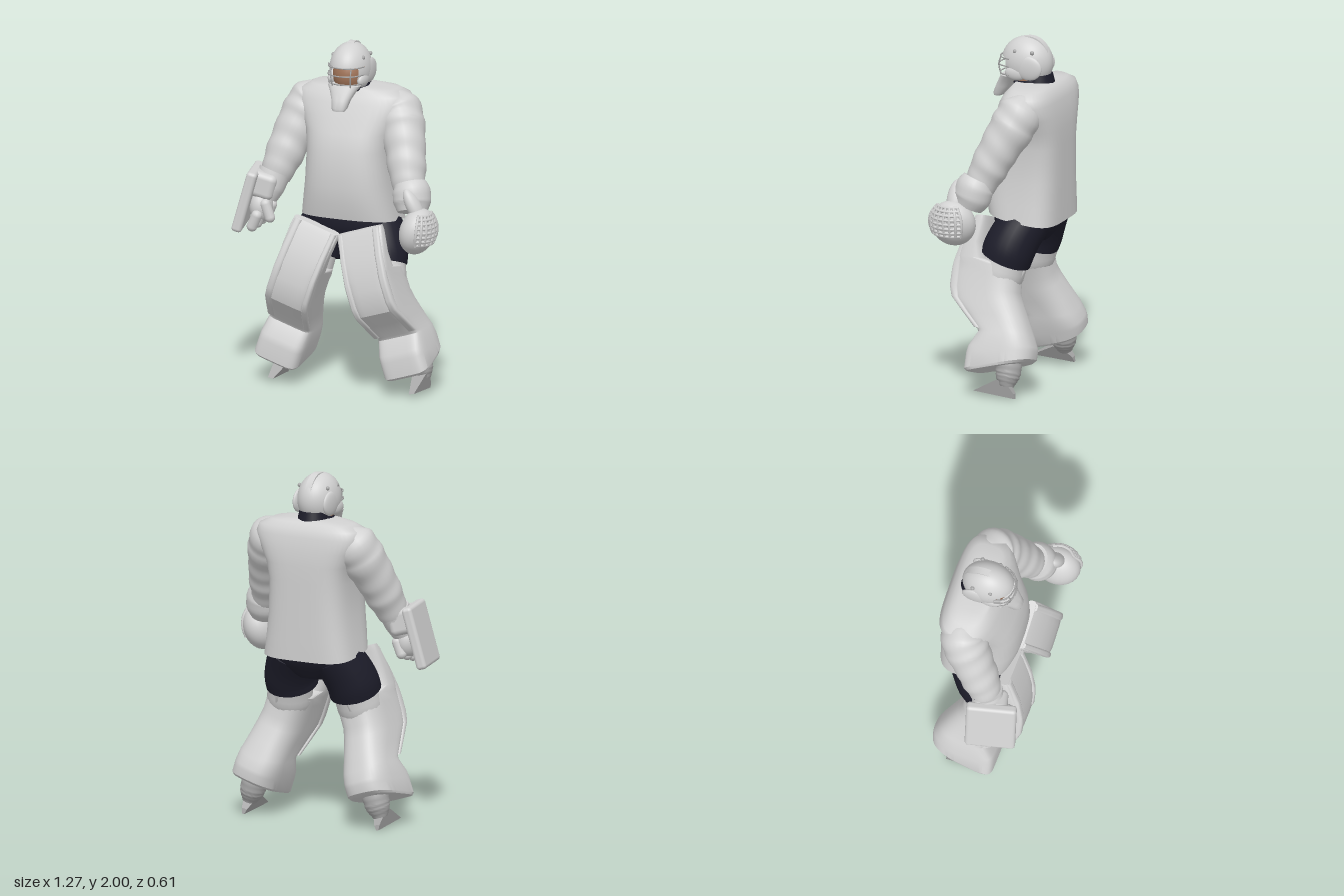
import * as THREE from 'three';
import { toCreasedNormals } from 'three/addons/utils/BufferGeometryUtils.js';
import { RoundedBoxGeometry } from 'three/addons/geometries/RoundedBoxGeometry.js';

const mat = (name, color) => Object.assign(new THREE.MeshStandardMaterial({ color }), { name });
const V = (x, y, z) => new THREE.Vector3(x, y, z);

// Skin closed rings, listed from bottom to top, and cap both ends
function skin(rings, crease = 0.7) {
  const n = rings[0].length, pos = [], idx = [];
  rings.forEach(r => r.forEach(p => pos.push(p.x, p.y, p.z)));
  for (let i = 0; i < rings.length - 1; i++) {
    for (let j = 0; j < n; j++) {
      const a = i * n + j, b = i * n + (j + 1) % n;
      idx.push(a, b, a + n, b, b + n, a + n);
    }
  }
  [0, rings.length - 1].forEach((k, top) => {
    const c = rings[k].reduce((s, p) => s.add(p), V(0, 0, 0)).divideScalar(n);
    const ci = pos.length / 3;
    pos.push(c.x, c.y, c.z);
    for (let j = 0; j < n; j++) {
      const a = k * n + j, b = k * n + (j + 1) % n;
      top ? idx.push(ci, a, b) : idx.push(ci, b, a);
    }
  });
  const g = new THREE.BufferGeometry();
  g.setAttribute('position', new THREE.Float32BufferAttribute(pos, 3));
  g.setIndex(idx);
  return toCreasedNormals(g, crease);
}

// Stacked sections [y, halfWidth, zFront, zBack, slope], squarer in front by nf and behind by nb
function stack(sections, nf, nb, crease, n = 40) {
  const pw = (v, e) => Math.sign(v) * Math.abs(v) ** (2 / e);
  return skin(sections.map(([y, w, zf, zb, t = 0]) => Array.from({ length: n }, (_, j) => {
    const a = (j + 0.5) / n * Math.PI * 2, s = -Math.sin(a), e = s > 0 ? nf : nb;
    const dz = pw(s, e) * (zf - zb) / 2;
    return V(pw(Math.cos(a), e) * w, y + t * dz, (zf + zb) / 2 + dz);
  })), crease);
}

// Round limb through [x, y, z, radius] from bottom to top, with optional cloth folds
function limb(side, pts, fold = 0, steps = 28, n = 24) {
  const curve = new THREE.CatmullRomCurve3(pts.map(p => V(p[0] * side, p[1], p[2])));
  const rings = [];
  for (let i = 0; i <= steps; i++) {
    const t = i / steps, f = t * (pts.length - 1), k = Math.min(Math.floor(f), pts.length - 2);
    const r = THREE.MathUtils.lerp(pts[k][3], pts[k + 1][3], f - k);
    const T = curve.getTangent(t), U = V(0, 0, 1).cross(T).negate().normalize(), W = U.clone().cross(T);
    const c = curve.getPoint(t);
    rings.push(Array.from({ length: n }, (_, j) => {
      const a = j / n * Math.PI * 2;
      const rr = r * (1 + fold * Math.sin(t * 34 + 1.6 * Math.sin(a)));
      return c.clone().addScaledVector(U, Math.cos(a) * rr).addScaledVector(W, -Math.sin(a) * rr);
    }));
  }
  return skin(rings, 0.9);
}

const wire = (pts, r) => new THREE.TubeGeometry(new THREE.CatmullRomCurve3(pts), 16, r, 6);

export function createModel() {
  const cloth = mat('light grey', 0xd2d2d2), navy = mat('dark navy', 0x1d1d2a);
  const skinTone = mat('skin', 0x9e7257), steel = mat('grey steel', 0xa8a8a8);
  cloth.side = THREE.DoubleSide;
  const root = new THREE.Group();
  root.name = 'goalkeeper';
  const add = (name, geo, m, parent = root) => {
    const mesh = new THREE.Mesh(geo, m);
    mesh.name = name;
    parent.add(mesh);
    return mesh;
  };
  const ball = (name, m, c, r, parent = root) => {
    const b = add(name, new THREE.SphereGeometry(1, 28, 20), m, parent);
    b.position.set(...c);
    b.scale.set(...r);
    return b;
  };

  // Jersey
  add('jersey', stack([
    [0.98, 0.28, 0.12, -0.3, 0.14], [1.08, 0.265, 0.14, -0.302, 0.08], [1.2, 0.25, 0.15, -0.302],
    [1.4, 0.242, 0.14, -0.305], [1.5, 0.262, 0.105, -0.305], [1.58, 0.3, 0.07, -0.3],
    [1.66, 0.332, 0.035, -0.285], [1.705, 0.315, 0.01, -0.27], [1.735, 0.25, -0.015, -0.24],
    [1.746, 0.16, -0.02, -0.215], [1.75, 0.09, -0.03, -0.19]], 2.8, 3.8, 0.8), cloth);

  // Shorts
  add('shorts', stack([[0.83, 0.09, 0.02, -0.19], [0.9, 0.23, 0.07, -0.245], [0.96, 0.255, 0.09, -0.275],
    [1.03, 0.25, 0.08, -0.275]], 2.8, 2.8, 0.8), navy);

  for (const s of [1, -1]) {
    const side = s > 0 ? 'left' : 'right';
    add(side + 'Sleeve', limb(s, [[0.41, 1.2, 0.06, 0.085], [0.378, 1.31, 0.015, 0.108], [0.345, 1.42, -0.035, 0.115],
      [0.3, 1.54, -0.095, 0.13], [0.26, 1.62, -0.13, 0.128], [0.2, 1.67, -0.14, 0.07]], 0.022, 48), cloth);
    add(side + 'ShortsLeg', limb(s, [[0.205, 0.75, -0.015, 0.149], [0.202, 0.8, -0.035, 0.149], [0.18, 0.87, -0.065, 0.146],
      [0.13, 0.98, -0.125, 0.138]], 0, 16), navy);
    add(side + 'Thigh', limb(s, [[0.245, 0.55, 0.02, 0.105], [0.228, 0.66, 0, 0.13], [0.19, 0.86, -0.06, 0.125]], 0, 12), cloth);

    // Leg pad, leaning inward towards the top
    const pad = new THREE.Group();
    pad.name = side + 'LegPad';
    pad.position.set(0.395 * s, 0.15, 0);
    pad.rotation.z = 0.315 * s;
    root.add(pad);
    add('padShell', stack([
      [0.015, 0.133, 0.105, -0.24, -0.26], [0.03, 0.14, 0.12, -0.26, -0.25], [0.1, 0.14, 0.118, -0.262, -0.12],
      [0.13, 0.14, 0.11, -0.258, -0.08], [0.2, 0.136, 0.06, -0.232], [0.215, 0.133, 0.068, -0.225], [0.3, 0.13, 0.155, -0.185],
      [0.38, 0.13, 0.235, -0.145], [0.44, 0.13, 0.25, -0.12], [0.53, 0.132, 0.248, -0.115, -0.05],
      [0.58, 0.134, 0.24, -0.105, -0.08], [0.61, 0.136, 0.233, 0.06], [0.7, 0.139, 0.205, 0.085],
      [0.82, 0.143, 0.155, 0.07], [0.852, 0.14, 0.135, 0.075]], 6, 2.7, 0.5), cloth, pad);
    // Raised rolls along the pad front
    for (const [u, w] of [[0.108, 0.024], [-0.116, 0.018]]) {
      add('padRoll', stack([[0.22, w, 0.076, 0.04], [0.3, w, 0.157, 0.12], [0.38, w, 0.236, 0.19], [0.44, w, 0.254, 0.2],
        [0.53, w, 0.253, 0.2], [0.58, w, 0.247, 0.2], [0.7, w, 0.215, 0.15], [0.85, w, 0.148, 0.09]],
      3, 3, 0.6, 16), cloth, pad).position.x = u * s;
    }
    // Rim above the calf
    const rim = add('calfRim', new THREE.TorusGeometry(0.122, 0.009, 8, 28, Math.PI), cloth, pad);
    rim.rotation.x = -Math.PI / 2;
    rim.position.set(0, 0.57, 0.015);
    // Strap behind the thigh
    add('thighStrap', wire([V(0.21 * s, 0.78, -0.165), V(0.23 * s, 0.7, -0.14), V(0.25 * s, 0.62, -0.1)], 0.012), cloth);

    // Skate
    add(side + 'Boot', limb(s, [[0.425, 0.065, -0.115, 0.04], [0.412, 0.11, -0.115, 0.066], [0.4, 0.15, -0.115, 0.074],
      [0.375, 0.24, -0.1, 0.08]], 0.025, 20), steel);
    const shape = new THREE.Shape([[0.08, 0.025], [-0.06, 0.1], [-0.11, 0.105], [-0.165, 0.03], [-0.17, 0]]
      .map(p => new THREE.Vector2(...p)));
    const bladeGeo = new THREE.ExtrudeGeometry(shape, { depth: 0.02, bevelEnabled: false });
    bladeGeo.translate(0, 0, -0.01).rotateY(-Math.PI / 2);
    // Widen the blade holder towards the boot
    const bp = bladeGeo.attributes.position;
    for (let i = 0; i < bp.count; i++) bp.setX(i, bp.getX(i) * (0.7 + 35 * bp.getY(i)));
    bladeGeo.computeVertexNormals();
    const blade = add(side + 'Blade', bladeGeo, steel);
    blade.position.x = 0.435 * s;
    blade.rotation.z = 0.18 * s;
  }

  // Neck and collar
  const neck = add('neck', new THREE.CylinderGeometry(0.078, 0.08, 0.12, 28), skinTone);
  neck.position.set(0, 1.75, -0.075);
  const collar = add('collar', new THREE.CylinderGeometry(0.078, 0.09, 0.05, 28), navy);
  collar.position.set(0, 1.765, -0.135);
  const neckband = add('neckband', new THREE.TorusGeometry(0.088, 0.012, 8, 32), navy);
  neckband.rotation.x = Math.PI / 2 + 0.12;
  neckband.position.set(0, 1.745, -0.085);

  // Helmet with an open face
  const helmet = new THREE.Group();
  helmet.name = 'helmet';
  root.add(helmet);
  const shell = (name, ...args) => {
    const geo = new THREE.SphereGeometry(1, 36, 16, ...args).scale(0.116, 0.147, 0.15);
    add(name, geo, cloth, helmet).position.set(0, 1.85, -0.065);
  };
  shell('dome', 0, Math.PI * 2, 0, 1.36);
  shell('helmetBack', Math.PI / 2 + 0.85, Math.PI * 2 - 1.7, 1.36, 0.76);
  ball('face', skinTone, [0, 1.82, -0.045], [0.094, 0.11, 0.1], helmet);
  const ridge = add('topRidge', new THREE.CylinderGeometry(1, 1, 0.04, 40), cloth, helmet);
  ridge.geometry.rotateZ(Math.PI / 2).scale(1, 0.151, 0.125);
  ridge.position.set(0, 1.849, -0.085);
  for (const s of [1, -1]) {
    ball('earPlate', cloth, [0.098 * s, 1.835, -0.11], [0.021, 0.07, 0.08], helmet);
    ball('jawPlate', cloth, [0.09 * s, 1.798, -0.03], [0.025, 0.042, 0.065], helmet);
    for (const z of [-0.025, -0.13]) ball('bolt', steel, [0.091 * s, 1.925, z], [0.011, 0.012, 0.012], helmet);
  }
  add('chinGuard', stack([[1.64, 0.036, 0.135, 0.085], [1.655, 0.045, 0.138, 0.06], [1.7, 0.056, 0.12, 0.025],
    [1.74, 0.076, 0.1, -0.01], [1.775, 0.1, 0.08, -0.04]], 2.4, 2.4, 0.6, 32), cloth, helmet);

  // Face cage
  for (const [y, z] of [[1.88, 0.09], [1.835, 0.1], [1.785, 0.09]]) {
    add('cageBar', wire([V(-0.108, y, 0), V(-0.075, y, z * 0.72), V(0, y, z), V(0.075, y, z * 0.72), V(0.108, y, 0)], 0.004), steel, helmet);
  }
  for (const x of [-0.06, 0.06]) {
    const k = 1 - 45 * x * x;
    add('cagePost', wire([V(x, 1.885, 0.085 * k), V(x, 1.835, 0.102 * k), V(x * 0.9, 1.77, 0.088 * k)], 0.004), steel, helmet);
  }

  // Catching glove on the left hand
  const glove = new THREE.Group();
  glove.name = 'catchingGlove';
  root.add(glove);
  add('gloveCuff', limb(1, [[0.45, 1.1, 0.11, 0.085], [0.44, 1.15, 0.09, 0.108], [0.43, 1.21, 0.075, 0.108],
    [0.415, 1.25, 0.06, 0.09]], 0, 14), cloth, glove);
  const palm = ball('glovePocket', cloth, [0.51, 1.01, 0.175], [0.098, 0.134, 0.132], glove);
  palm.rotation.z = -0.25;
  const thumb = ball('gloveThumb', cloth, [0.485, 1.15, 0.17], [0.042, 0.11, 0.05], glove);
  thumb.rotation.z = 0.5;
  // Woven webbing over the outer side of the pocket
  const web = new THREE.Group();
  web.name = 'webbing';
  web.position.set(0.516, 1.02, 0.18);
  web.rotation.z = -0.1;
  glove.add(web);
  const onWeb = (a, b) => V(Math.cos(a) * Math.cos(b) * 0.1, Math.sin(b) * 0.13, Math.sin(a) * Math.cos(b) * 0.13);
  for (let i = 0; i < 8; i++) {
    const a = -0.75 + i * 0.28, b = -0.5 + i * 0.2;
    add('webLace', wire([-0.5, -0.05, 0.4, 0.9].map(t => onWeb(a, t)), 0.009), cloth, web);
    add('webLace', wire([-0.75, -0.1, 0.55, 1.21].map(t => onWeb(t, b)), 0.009), cloth, web);
  }

  // Blocker on the right hand
  const blocker = new THREE.Group();
  blocker.name = 'blocker';
  blocker.position.set(-0.545, 1.085, 0.13);
  blocker.rotation.set(0, 0.22, -0.27);
  root.add(blocker);
  add('blockerBoard', new RoundedBoxGeometry(0.06, 0.36, 0.285, 3, 0.02), cloth, blocker);
  const wristPad = add('blockerWristPad', new RoundedBoxGeometry(0.15, 0.15, 0.2, 4, 0.035), cloth, blocker);
  wristPad.position.set(0.065, 0.105, -0.015);
  const lining = add('blockerLining', new THREE.BoxGeometry(0.06, 0.006, 0.08), navy, blocker);
  lining.position.set(0.065, 0.182, -0.06);
  add('blockerCuff', limb(-1, [[0.455, 1.09, 0.11, 0.075], [0.435, 1.15, 0.09, 0.09], [0.41, 1.23, 0.06, 0.092]], 0, 12), cloth);
  ball('blockerHand', cloth, [-0.465, 1.04, 0.13], [0.065, 0.095, 0.08]);
  for (let i = 0; i < 4; i++) {
    const finger = add('blockerFinger', new THREE.CapsuleGeometry(0.031, 0.07, 6, 14), cloth);
    finger.position.set(-0.475 + i * 0.012, 0.97 + i * 0.012, 0.205 - i * 0.044);
    finger.rotation.z = -0.4;
  }
  const blockerThumb = add('blockerThumb', new THREE.CapsuleGeometry(0.03, 0.08, 6, 14), cloth);
  blockerThumb.position.set(-0.405, 1.03, 0.18);
  blockerThumb.rotation.z = 0.35;
  return root;
}
